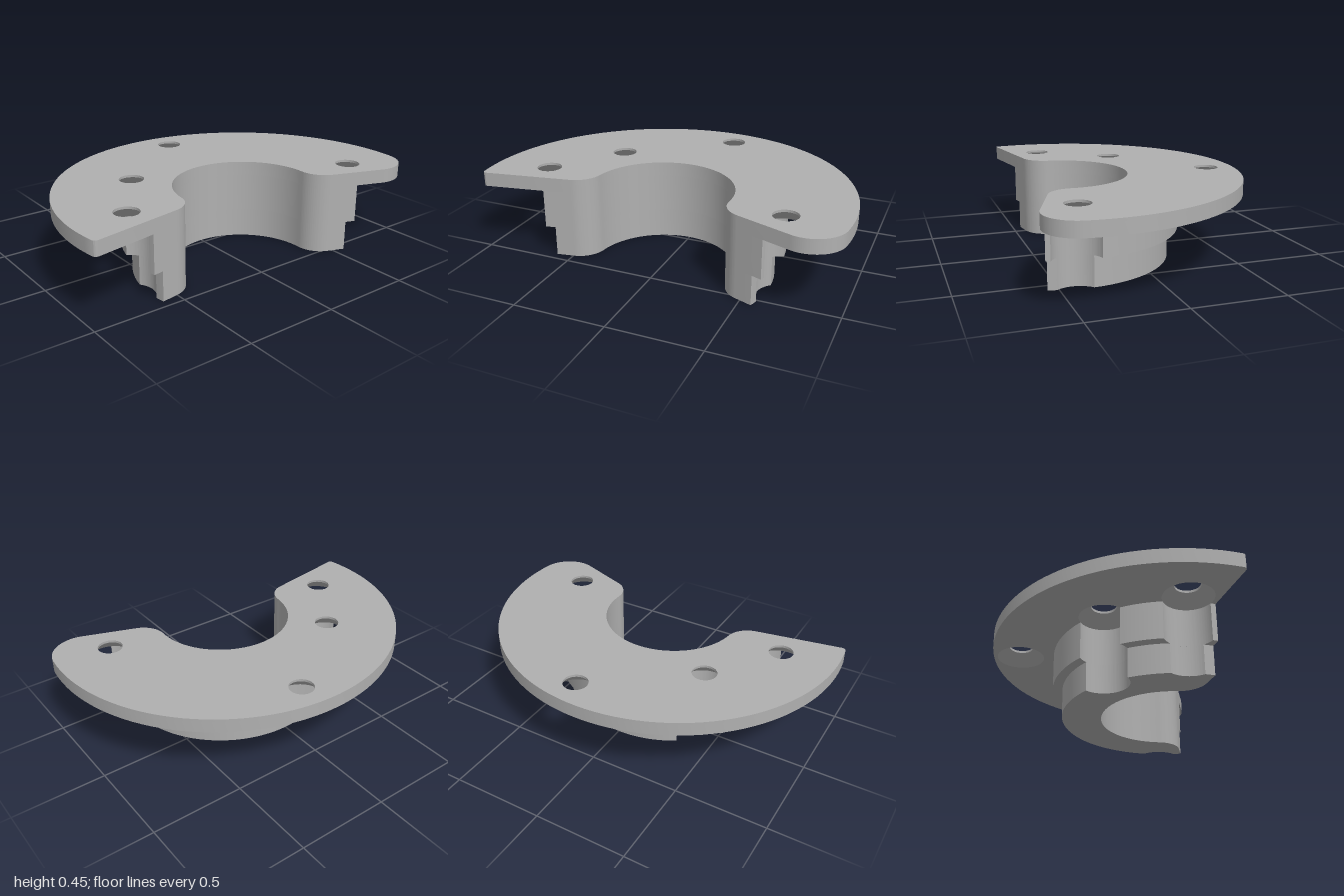
import * as THREE from 'three';
import { toCreasedNormals } from 'three/addons/utils/BufferGeometryUtils.js';

// Plan coordinates: x to the right, v = -z
const O = new THREE.Vector2(0, -0.355);
const INNER = 0.382, FILLET = 0.14, SINK = 0.133, BORE = 0.067;
const holes = [[0.685, -0.432], [0.1, 0.485], [-0.427, 0.075], [-0.695, -0.31]]
  .map(([x, v]) => new THREE.Vector2(x, v));
const notched = [holes[0], holes[2], holes[3]]; // counterclockwise order

// Straight end edges: a point, the outward direction, the normal into the material
const a10 = Math.PI / 18, a20 = Math.PI / 9;
const leftEnd = {
  p: new THREE.Vector2(-0.979, -0.521),
  d: new THREE.Vector2(-Math.cos(a10), -Math.sin(a10)),
  n: new THREE.Vector2(-Math.sin(a10), Math.cos(a10)),
};
const rightEnd = {
  p: new THREE.Vector2(0.47, -0.521),
  d: new THREE.Vector2(Math.cos(a20), -Math.sin(a20)),
  n: new THREE.Vector2(Math.sin(a20), Math.cos(a20)),
};

const angle = (from, to) => Math.atan2(to.y - from.y, to.x - from.x);

// Centre of a rounding of radius r on an end edge, at a given distance from O
function roundCentre(end, r, dist) {
  const q = end.p.clone().addScaledVector(end.n, r);
  const w = q.clone().sub(O);
  const b = w.dot(end.d);
  const t = -b + Math.sqrt(b * b - w.lengthSq() + dist * dist);
  return q.addScaledVector(end.d, t);
}

// C-shaped outline with rounded inner corners, optional outer roundings and notches
function outline(R, rRight, rLeft, notches) {
  const s = new THREE.Shape();
  const arc = (c, r, from, to, cw = false) => s.absarc(c.x, c.y, r, from, to, cw);
  const downR = Math.atan2(-rightEnd.n.y, -rightEnd.n.x);
  const downL = Math.atan2(-leftEnd.n.y, -leftEnd.n.x);
  const cR = roundCentre(rightEnd, rRight, R - rRight);
  const cL = roundCentre(leftEnd, rLeft, R - rLeft);
  let at = angle(O, cR);
  if (rRight) arc(cR, rRight, downR, at);
  for (const c of notches) {
    const d = c.distanceTo(O), mid = angle(O, c);
    const half = Math.acos((d * d + R * R - SINK * SINK) / (2 * d * R));
    const onRim = (t) => new THREE.Vector2(O.x + R * Math.cos(t), O.y + R * Math.sin(t));
    arc(O, R, at, mid - half);
    arc(c, SINK, angle(c, onRim(mid - half)), angle(c, onRim(mid + half)), true);
    at = mid + half;
  }
  arc(O, R, at, angle(O, cL));
  if (rLeft) arc(cL, rLeft, angle(O, cL), downL);
  const fL = roundCentre(leftEnd, FILLET, INNER + FILLET);
  const fR = roundCentre(rightEnd, FILLET, INNER + FILLET);
  arc(fL, FILLET, downL, angle(fL, O));
  arc(O, INNER, angle(O, fL), angle(O, fR), true);
  arc(fR, FILLET, angle(fR, O), downR);
  s.closePath();
  return s;
}

export function createModel() {
  const group = new THREE.Group();
  const grey = new THREE.MeshStandardMaterial({ color: 0xb0b0b0, side: THREE.DoubleSide });
  grey.name = 'plain grey';

  const add = (name, geometry) => {
    const mesh = new THREE.Mesh(geometry, grey);
    mesh.name = name;
    group.add(mesh);
    return mesh;
  };
  const slab = (name, shape, y0, y1) => {
    const g = new THREE.ExtrudeGeometry(shape, { depth: y1 - y0, bevelEnabled: false, curveSegments: 32 });
    g.rotateX(-Math.PI / 2).translate(0, y0, 0);
    add(name, toCreasedNormals(g, 0.5));
  };
  const flange = (r) => {
    const s = outline(1, 0.175, 0.02, []);
    for (const h of holes) s.holes.push(new THREE.Path().absarc(h.x, h.y, r, 0, Math.PI * 2, true));
    return s;
  };

  // Stepped collar, notched around the screw holes
  slab('lowerCollar', outline(0.6, 0, 0, notched), 0, 0.163);
  slab('upperCollar', outline(0.655, 0, 0, notched), 0.163, 0.373);

  // Flange: wide holes below, narrow holes above
  slab('flangeLower', flange(SINK), 0.373, 0.437);
  slab('flangeUpper', flange(BORE), 0.437, 0.45);

  // Conical countersinks on the underside
  for (const h of holes) {
    const cone = add('countersink', new THREE.CylinderGeometry(BORE, SINK, 0.064, 64, 1, true));
    cone.position.set(h.x, 0.405, -h.y);
  }
  return group;
}
